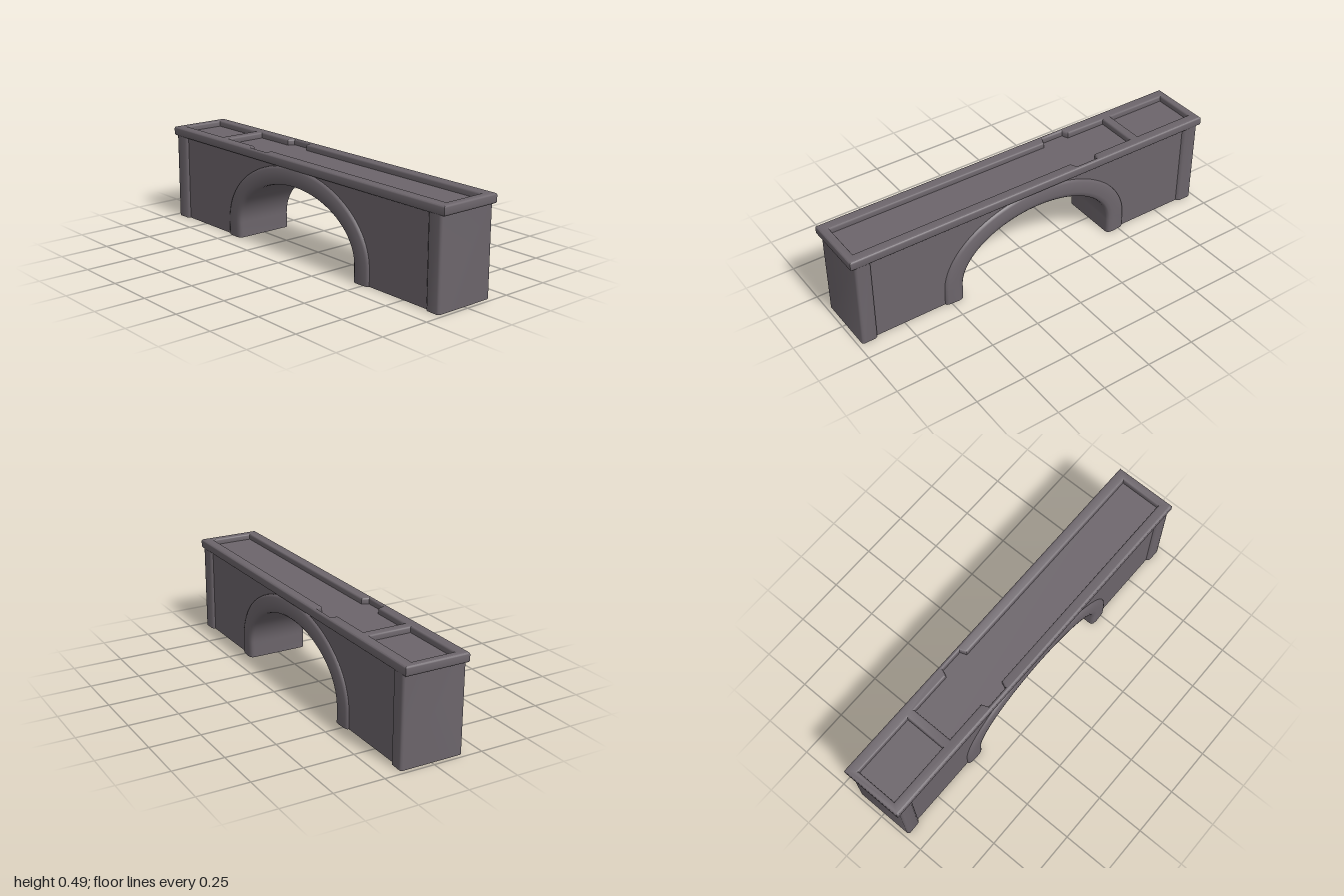
import * as THREE from 'three';
import { toCreasedNormals } from 'three/addons/utils/BufferGeometryUtils.js';

const SPRING = 0.08; // height where the arch curve starts
const WALL_Z = 0.143; // face of the recessed side walls
const stone = new THREE.MeshStandardMaterial({ color: 0x6c656b, side: THREE.DoubleSide });
stone.name = 'stone';

// Arch outline pushed outwards by d, running from the -x foot to the +x foot
function archPoints(d, steps = 48) {
  const a = 0.43 + d, b = 0.275 + d * 0.95;
  const pts = [[-a, 0]];
  for (let i = 0; i <= steps; i++) {
    const t = Math.PI * (1 - i / steps);
    pts.push([a * Math.cos(t), SPRING + b * Math.sin(t)]);
  }
  pts.push([a, 0]);
  return pts;
}

// Smooth surface through rows of [x, y, z] points
function loft(rows, crease) {
  const n = rows[0].length, index = [];
  for (let i = 0; i < rows.length - 1; i++) {
    for (let j = 0; j < n - 1; j++) {
      const a = i * n + j, c = a + n;
      index.push(a, a + 1, c, a + 1, c + 1, c);
    }
  }
  const geo = new THREE.BufferGeometry();
  geo.setAttribute('position', new THREE.Float32BufferAttribute(rows.flat(2), 3));
  geo.setIndex(index);
  return toCreasedNormals(geo, crease);
}

export function createModel() {
  const model = new THREE.Group();
  model.name = 'archBridge';
  const add = (name, geo, turn = 0) => {
    const mesh = new THREE.Mesh(geo, stone);
    mesh.name = name;
    mesh.rotation.y = turn;
    model.add(mesh);
    return mesh;
  };

  // Arch vault with a rounded raised ring on both faces
  const half = [[0.1, 0.138], [0.097, 0.15], [0.085, 0.156], [0.03, 0.159], [0.012, 0.156], [0.003, 0.149], [0, 0.138]];
  const section = [...half, ...half.slice().reverse().map(([d, z]) => [d, -z])];
  const lines = section.map(([d]) => archPoints(d));
  const archRows = lines[0].map((_, i) => section.map(([, z], j) => [...lines[j][i], z]));
  add('archVault', loft(archRows, 0.9));

  // Recessed side walls, cut out around the arch
  const wall = new THREE.Shape();
  wall.moveTo(-0.91, 0);
  archPoints(0.09).forEach(([x, y]) => wall.lineTo(x, Math.min(y, 0.446)));
  wall.lineTo(0.91, 0);
  wall.lineTo(0.91, 0.45);
  wall.lineTo(-0.91, 0.45);
  const wallGeo = new THREE.ShapeGeometry(wall).translate(0, 0, WALL_Z);
  add('frontWall', wallGeo);
  add('backWall', wallGeo, Math.PI);

  // End walls wrapping round into corner pilasters
  const corner = [[0.895, 0.14], [0.9, 0.15], [0.91, 0.157], [0.967, 0.159], [0.976, 0.156], [0.98, 0.147]];
  const plan = [...corner.map(([x, z]) => [x, -z]), ...corner.slice().reverse()];
  const endGeo = loft(plan.map(([x, z]) => [[x, 0, z], [x, 0.45, z]]), 0.9);
  add('leftEndWall', endGeo);
  add('rightEndWall', endGeo, Math.PI);

  // Cornice and parapet rim, with two sunken deck bays
  const rim = new THREE.Shape();
  rim.moveTo(-1, -0.161).lineTo(1, -0.161).lineTo(1, 0.161).lineTo(-1, 0.161).closePath();
  const bay = (pts) => rim.holes.push(new THREE.Path(pts.map(([x, z]) => new THREE.Vector2(x, z))));
  bay([[-0.96, -0.107], [-0.96, 0.107], [-0.632, 0.107], [-0.632, -0.107]]);
  const notch = [[-0.583, 0.107], [-0.365, 0.107], [-0.352, 0.14], [-0.232, 0.14], [-0.219, 0.107], [0.957, 0.107]];
  bay([...notch, ...notch.slice().reverse().map(([x, z]) => [x, -z])]);
  const rimGeo = new THREE.ExtrudeGeometry(rim, {
    depth: 0.028, bevelThickness: 0.01, bevelSize: 0.01, bevelOffset: -0.01, bevelSegments: 3,
  });
  rimGeo.rotateX(-Math.PI / 2).translate(0, 0.45, 0);
  add('parapet', toCreasedNormals(rimGeo, 0.7));

  // Deck floor below the parapet
  add('deck', new THREE.BoxGeometry(1.95, 0.012, 0.3).translate(0, 0.452, 0));

  return model;
}
